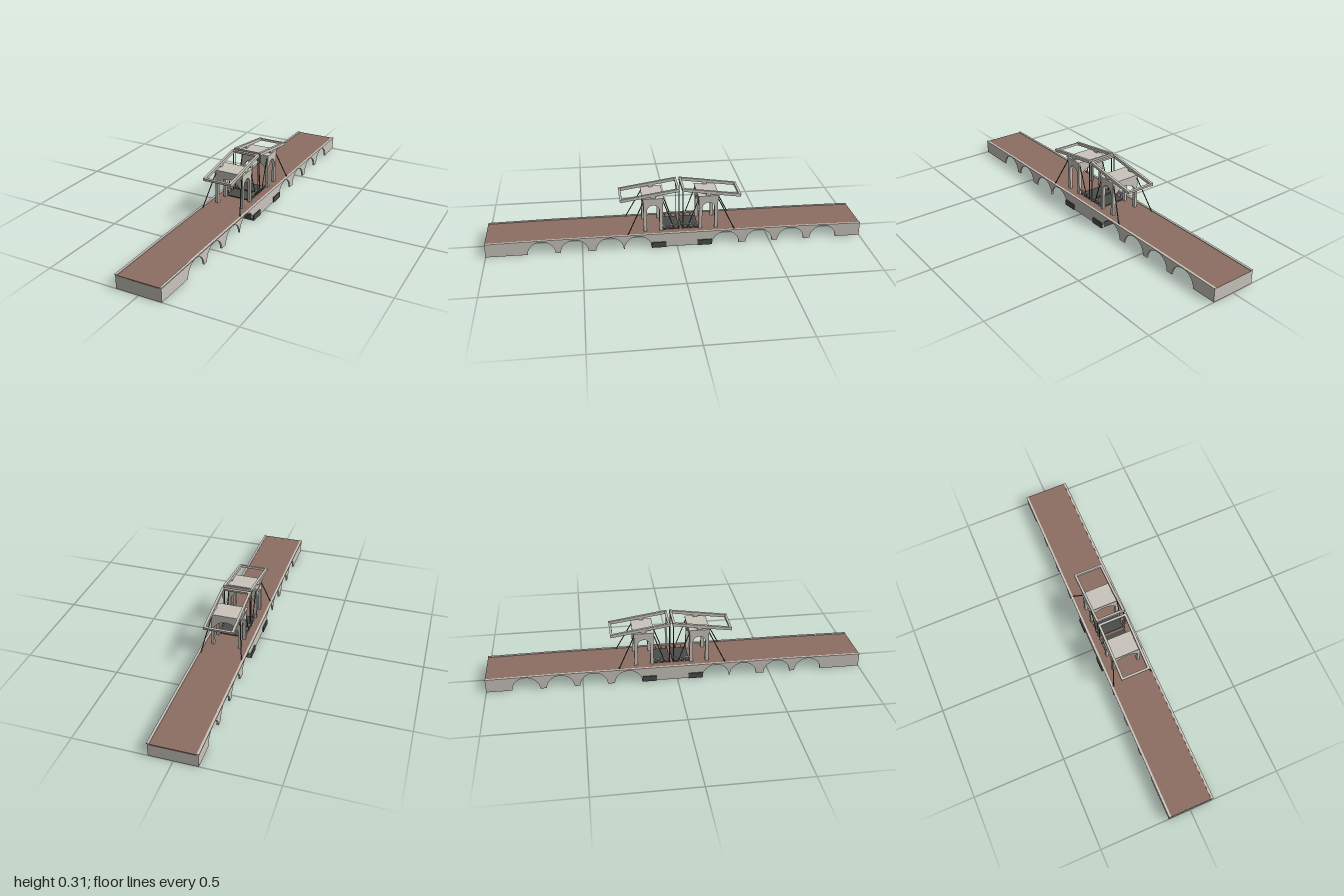
import * as THREE from 'three';

const stone = new THREE.MeshStandardMaterial({ color: 0xc9c5bc, name: 'stone' });
const road = new THREE.MeshStandardMaterial({ color: 0x8d6e63, name: 'roadBrown' });
const iron = new THREE.MeshStandardMaterial({ color: 0x4a4d4a, name: 'darkIron' });

function add(parent, name, geo, mat) {
  const m = new THREE.Mesh(geo, mat);
  m.name = name;
  parent.add(m);
  return m;
}

// Box given by its limits on each axis
function box(parent, name, mat, x0, x1, y0, y1, z0, z1) {
  const m = add(parent, name, new THREE.BoxGeometry(x1 - x0, y1 - y0, z1 - z0), mat);
  m.position.set((x0 + x1) / 2, (y0 + y1) / 2, (z0 + z1) / 2);
  return m;
}

function rod(parent, name, a, b, r) {
  const p = new THREE.Vector3(...a), q = new THREE.Vector3(...b);
  const m = add(parent, name, new THREE.CylinderGeometry(r, r, p.distanceTo(q), 8), iron);
  m.position.copy(p).lerp(q, 0.5);
  m.quaternion.setFromUnitVectors(new THREE.Vector3(0, 1, 0), q.sub(p).normalize());
}

// Extrudes a (z, y) shape across x0..x1
function extrudeX(shape, x0, x1) {
  return new THREE.ExtrudeGeometry(shape, { depth: x1 - x0, bevelEnabled: false, curveSegments: 20 })
    .rotateY(-Math.PI / 2).translate(x1, 0, 0);
}

// Panel with an arched opening that reaches its foot
function archPanel(half, open, radius, apex, y0, y1) {
  const cy = apex - radius, a = Math.acos(open / radius);
  const s = new THREE.Shape();
  s.moveTo(-half, y0);
  s.lineTo(-open, y0);
  s.absarc(0, cy, radius, Math.PI - a, a, true);
  s.lineTo(open, y0);
  s.lineTo(half, y0);
  s.lineTo(half, y1);
  s.lineTo(-half, y1);
  return s;
}

// Slightly humped band along the bridge
function bandShape(lo, hi) {
  const s = new THREE.Shape();
  s.moveTo(-1, lo);
  s.lineTo(-0.65, lo + 0.004);
  s.lineTo(0.65, lo + 0.004);
  s.lineTo(1, lo);
  s.lineTo(1, hi);
  s.lineTo(0.65, hi + 0.004);
  s.lineTo(-0.65, hi + 0.004);
  s.lineTo(-1, hi);
  return s;
}

function buildSpan(g) {
  // Arcaded side walls
  const wall = new THREE.Shape();
  wall.moveTo(-1, 0);
  for (const c of [-0.795, -0.616, -0.442, -0.26, 0.207, 0.356, 0.541, 0.712]) {
    wall.lineTo(c - 0.072, 0);
    wall.absellipse(c, 0, 0.072, 0.07, Math.PI, 0, true);
  }
  wall.lineTo(1, 0);
  wall.lineTo(1, 0.072);
  wall.lineTo(0.65, 0.076);
  wall.lineTo(-0.65, 0.076);
  wall.lineTo(-1, 0.072);
  for (const s of [-1, 1]) {
    const x = s > 0 ? [0.112, 0.121] : [-0.121, -0.112];
    add(g, 'arcadeWall', extrudeX(wall, ...x), stone);
    const c = s > 0 ? [0.112, 0.124] : [-0.124, -0.112];
    add(g, 'curb', extrudeX(bandShape(0.07, 0.075), ...c), stone);
    box(g, 'endWall', stone, -0.112, 0.112, 0, 0.0715, s > 0 ? 0.992 : -1, s > 0 ? 1 : -0.992);
  }
  add(g, 'roadway', extrudeX(bandShape(0.064, 0.072), -0.112, 0.112), road);
}

// One half of the drawbridge, reaching from the middle towards +z
function buildHalf() {
  const h = new THREE.Group();
  h.name = 'drawbridgeHalf';
  const tz = 0.147, d = 0.051, foot = 0.072;

  // Pier beam and lifting leaf
  box(h, 'pierBeam', iron, -0.127, 0.127, 0, 0.03, 0.084, 0.161);
  box(h, 'liftingLeaf', iron, -0.07, 0.07, 0.074, 0.081, 0.006, 0.096);

  // Gate tower
  const tower = new THREE.Group();
  tower.name = 'gateTower';
  tower.position.z = tz;
  h.add(tower);
  const front = archPanel(0.08, 0.065, 0.072, 0.224, foot, 0.247);
  const side = archPanel(d - 0.015, 0.033, 0.033, 0.226, foot, 0.247);
  for (const s of [-1, 1]) {
    const f = new THREE.ExtrudeGeometry(front, { depth: 0.015, bevelEnabled: false, curveSegments: 20 });
    add(tower, 'gateArch', f, stone).position.z = s > 0 ? d - 0.015 : -d;
    add(tower, 'sideArch', extrudeX(side, s > 0 ? 0.065 : -0.08, s > 0 ? 0.08 : -0.065), stone);
  }
  box(tower, 'cornice', stone, -0.082, 0.082, 0.247, 0.262, -d - 0.002, d + 0.002);
  box(tower, 'roofSlab', stone, -0.085, 0.085, 0.262, 0.266, -d - 0.005, d + 0.005);

  // Tilted balance frame
  const dz = 0.313, dy = -0.047;
  const frame = new THREE.Group();
  frame.name = 'balanceFrame';
  frame.position.set(0, 0.281, 0.007 + dz / 2);
  frame.rotation.x = Math.atan2(-dy, dz);
  h.add(frame);
  const L = Math.hypot(dz, dy) / 2;
  for (const s of [-1, 1]) {
    const b = box(frame, 'balanceBeam', stone, -0.0065, 0.0065, -0.008, 0.008, -L, L);
    b.position.x = s * 0.0735;
    box(frame, 'frameCrossbar', stone, -0.067, 0.067, -0.006, 0.006,
      s > 0 ? L - 0.012 : -L, s > 0 ? L : -L + 0.012);
  }

  // Pivots, lifting rods, stays and railing on both sides
  for (const s of [-1, 1]) {
    box(h, 'pivotBlock', stone, s * 0.0735 - 0.006, s * 0.0735 + 0.006, 0.264, 0.28, tz - 0.012, tz + 0.012);
    rod(h, 'liftingRod', [s * 0.074, 0.302, 0.011], [s * 0.074, 0.078, 0.011], 0.0025);
    rod(h, 'outerStay', [s * 0.076, 0.247, tz + d], [s * 0.109, 0.075, 0.284], 0.0027);
    rod(h, 'innerStay', [s * 0.074, 0.25, tz - d], [s * 0.074, 0.08, 0.035], 0.0025);
    const x = s * 0.072;
    box(h, 'handrail', stone, x - 0.003, x + 0.003, 0.1, 0.107, 0.006, 0.097);
    for (const z of [0.01, 0.04, 0.07]) {
      box(h, 'railPost', stone, x - 0.002, x + 0.002, 0.074, 0.1, z - 0.002, z + 0.002);
    }
  }
  return h;
}

export function createModel() {
  const g = new THREE.Group();
  g.name = 'drawbridge';
  buildSpan(g);
  for (const turn of [0, Math.PI]) {
    const h = buildHalf();
    h.position.z = -0.025;
    h.rotation.y = turn;
    g.add(h);
  }
  return g;
}
